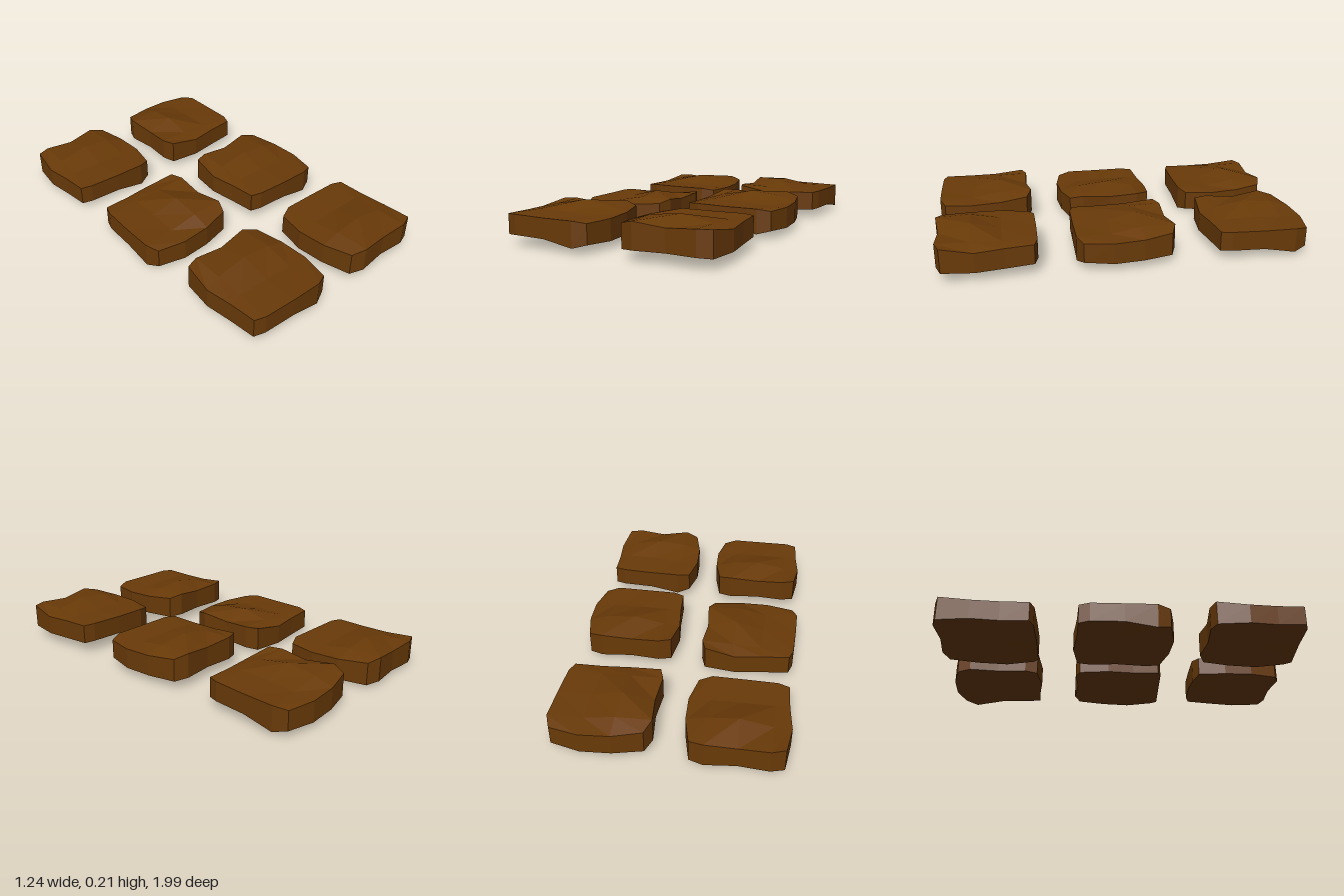
import * as THREE from 'three';

// One worn slab on a 5 x 4 grid: plan outline, top heights and underside heights.
const X = [
  [-0.25, -0.18, -0.02, 0.145, 0.22],
  [-0.27, -0.18, -0.01, 0.155, 0.26],
  [-0.25, -0.18, -0.01, 0.155, 0.27],
  [-0.24, -0.18, 0.0, 0.17, 0.24],
];
const Z = [
  [-0.23, -0.255, -0.245, -0.265, -0.235],
  [-0.06, -0.08, -0.08, -0.08, -0.08],
  [0.09, 0.08, 0.08, 0.08, 0.08],
  [0.24, 0.26, 0.265, 0.265, 0.235],
];
const TOP = [
  [0.17, 0.17, 0.158, 0.178, 0.16],
  [0.145, 0.165, 0.197, 0.18, 0.15],
  [0.15, 0.158, 0.158, 0.15, 0.145],
  [0.155, 0.158, 0.155, 0.155, 0.143],
];
const BOTTOM = [
  [0.038, 0.042, 0.042, 0.042, 0.035],
  [0.038, 0.042, 0.042, 0.04, 0.035],
  [0.04, 0.045, 0.042, 0.035, 0.032],
  [0.048, 0.052, 0.05, 0.02, 0.038],
];

function slabGeometry() {
  const geometry = new THREE.BoxGeometry(1, 1, 1, 4, 1, 3);
  const p = geometry.attributes.position;
  for (let i = 0; i < p.count; i++) {
    const col = Math.round((p.getX(i) + 0.5) * 4);
    const row = Math.round((p.getZ(i) + 0.5) * 3);
    const heights = p.getY(i) > 0 ? TOP : BOTTOM;
    p.setXYZ(i, X[row][col], heights[row][col], Z[row][col]);
  }
  geometry.computeVertexNormals();
  return geometry;
}

export function createModel() {
  const group = new THREE.Group();
  group.name = 'steppingSlabs';
  const geometry = slabGeometry();
  const material = new THREE.MeshStandardMaterial({ color: 0x693a08, flatShading: true });

  // Name, x, y, z and quarter turns of each slab
  const slabs = [
    ['backRightSlab', -0.35, -0.018, -0.72, 0],
    ['backLeftSlab', 0.325, 0, -0.732, 1],
    ['middleRightSlab', -0.335, -0.02, 0.01, -1],
    ['middleLeftSlab', 0.34, 0.008, 0.003, 0],
    ['frontRightSlab', -0.312, 0.008, 0.722, 0],
    ['frontLeftSlab', 0.347, 0.016, 0.728, 2],
  ];
  for (const [name, x, y, z, turns] of slabs) {
    const slab = new THREE.Mesh(geometry, material);
    slab.name = name;
    slab.position.set(x, y, z);
    slab.rotation.y = (turns * Math.PI) / 2;
    group.add(slab);
  }
  return group;
}
